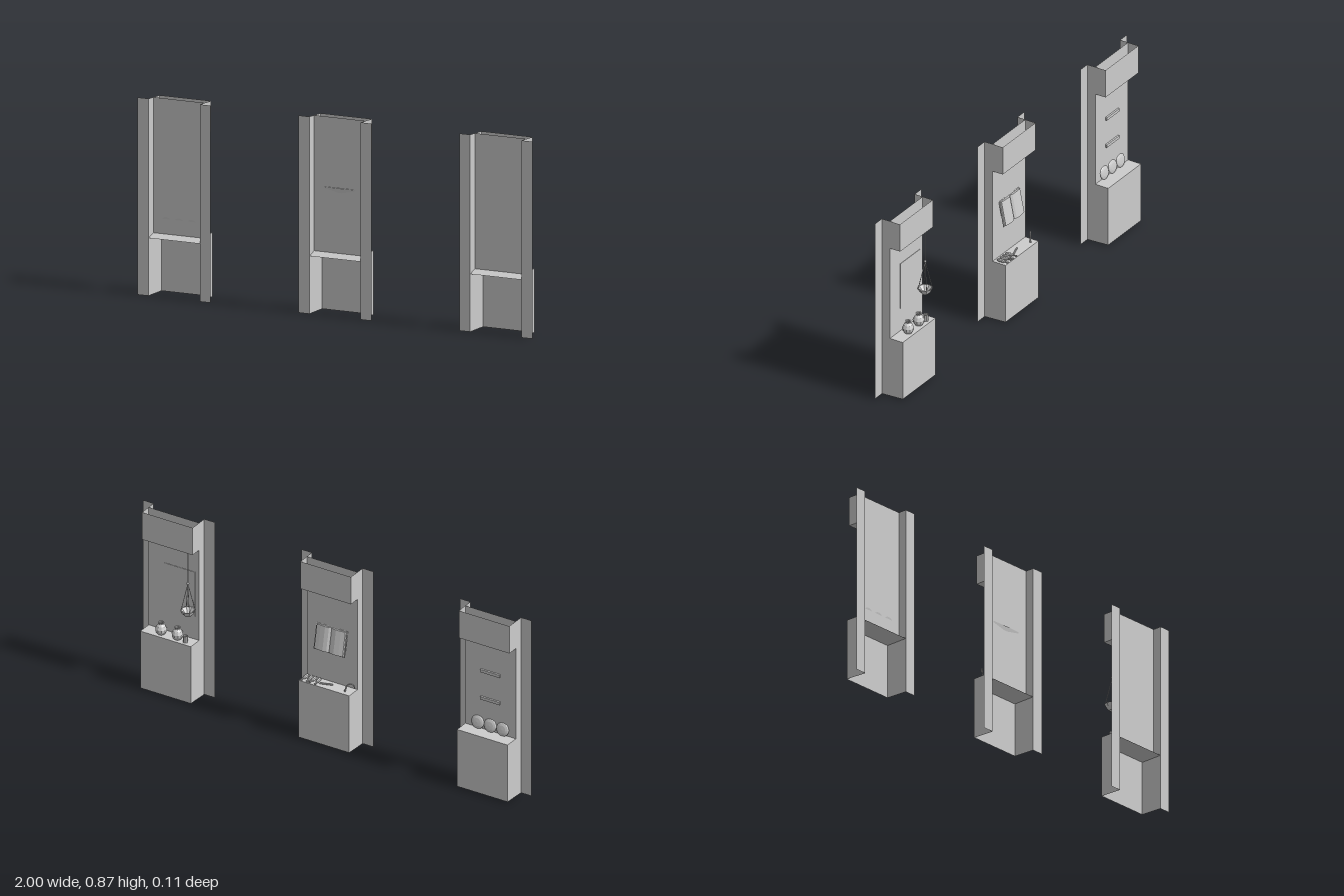
import * as THREE from 'three';

export function createModel() {
  const root = new THREE.Group();
  root.name = 'stallRow';
  const grey = new THREE.MeshStandardMaterial({ color: 0xcccccc, side: THREE.DoubleSide, flatShading: true });
  grey.name = 'plainGrey';

  const add = (parent, name, geo, x = 0, y = 0, z = 0, rx = 0, ry = 0, rz = 0) => {
    const m = new THREE.Mesh(geo, grey);
    m.name = name;
    m.position.set(x, y, z);
    m.rotation.set(rx, ry, rz);
    parent.add(m);
    return m;
  };
  const shapeOf = (pts) => new THREE.Shape(pts.map((p) => new THREE.Vector2(...p)));
  const lathe = (pts, n) => new THREE.LatheGeometry(pts.map((p) => new THREE.Vector2(...p)), n);
  // Flat sheet across the niche between two (y, z) edges
  const sheet = (parent, name, y0, z0, y1, z1) => {
    const len = Math.hypot(y1 - y0, z1 - z0);
    add(parent, name, new THREE.PlaneGeometry(2 * W, len),
      0, (y0 + y1) / 2, (z0 + z1) / 2, Math.atan2(z1 - z0, y1 - y0));
  };
  // Straight round rod between two points
  const rod = (parent, name, a, b, r, n = 6) => {
    const p = new THREE.Vector3(...a), q = new THREE.Vector3(...b);
    const m = add(parent, name, new THREE.CylinderGeometry(r, r, p.distanceTo(q), n));
    m.position.copy(p).add(q).multiplyScalar(0.5);
    m.quaternion.setFromUnitVectors(new THREE.Vector3(0, 1, 0), q.sub(p).normalize());
  };

  const W = 0.13, FRONT = 0.056, PANEL = 0.015, COUNTER = -0.052, CANOPY = -0.038;
  const TOP = 0.87, HOOD = 0.735, DESK = 0.287;

  // Open sheet shell of one stall
  const stall = (x, name) => {
    const g = new THREE.Group();
    g.name = name;
    g.position.x = x;
    const side = shapeOf([[-FRONT, 0], [-COUNTER, 0.005], [-COUNTER, DESK], [-PANEL, DESK],
      [-PANEL, HOOD], [-CANOPY, HOOD], [-CANOPY, TOP], [-FRONT, TOP]]);
    for (const s of [-1, 1]) {
      add(g, 'sideWall', new THREE.ShapeGeometry(side), s * W, 0, 0, 0, Math.PI / 2);
      add(g, 'wallFlange', new THREE.PlaneGeometry(0.055, TOP), s * (W + 0.0275), TOP / 2, FRONT);
    }
    sheet(g, 'backPanel', 0.272, PANEL, TOP, PANEL);
    sheet(g, 'counterFace', 0.005, COUNTER, DESK, COUNTER);
    sheet(g, 'counterTop', DESK, COUNTER, DESK, PANEL);
    sheet(g, 'rearLedge', 0.255, FRONT, 0.272, PANEL);
    sheet(g, 'ledgeUnderside', 0.255, FRONT, 0.255, COUNTER);
    sheet(g, 'canopyFace', HOOD, CANOPY, TOP, CANOPY);
    sheet(g, 'canopyUnderside', HOOD, CANOPY, HOOD, PANEL);
    root.add(g);
    return g;
  };

  // Stall with leaning plates and two narrow wall rails
  const plates = stall(-0.815, 'plateStall');
  const plateGeo = lathe([[0, 0.008], [0.018, 0.007], [0.028, 0.004], [0.032, 0], [0, 0]], 20);
  for (const i of [-1, 0, 1])
    add(plates, 'plate', plateGeo, i * 0.064, DESK + 0.029, 0.011, -Math.PI / 2 + 0.18);
  for (const y of [0.44, 0.575])
    add(plates, 'wallRail', new THREE.BoxGeometry(0.1, 0.014, 0.008), 0, y, PANEL - 0.004);

  // Stall with an open book and small tools
  const study = stall(0, 'bookStall');
  const book = new THREE.Group();
  book.name = 'openBook';
  book.position.set(0, 0.44, -0.007);
  book.rotation.x = 0.2;
  study.add(book);
  const slab = (name, pts, depth, y) =>
    add(book, name, new THREE.ExtrudeGeometry(shapeOf(pts), { depth, bevelEnabled: false }), 0, y, 0, -Math.PI / 2);
  slab('bookCover', [[-0.08, 0.004], [-0.08, 0.001], [-0.008, -0.002], [0.008, -0.002],
    [0.08, 0.001], [0.08, 0.004], [0, 0.002]], 0.122, 0);
  for (const s of [-1, 1])
    slab('bookPages', [[0, 0.002], [s * 0.075, 0.004], [s * 0.073, 0.011], [s * 0.052, 0.014],
      [s * 0.028, 0.016], [s * 0.01, 0.013], [0, 0.006]], 0.114, 0.004);

  const vial = lathe([[0, 0], [0.007, 0], [0.008, 0.004], [0.008, 0.028], [0.003, 0.036],
    [0.003, 0.046], [0.0045, 0.047], [0.0045, 0.052], [0, 0.052]], 8);
  for (const i of [0, 1, 2, 3])
    add(study, 'lyingVial', vial, 0.115 - i * 0.021, DESK + 0.008, -0.003, -Math.PI / 2, 0, 0.15 * (i % 2));
  rod(study, 'stylus', [0.035, DESK + 0.004, -0.03], [-0.02, DESK + 0.004, -0.012], 0.004);
  add(study, 'sickleBlade', new THREE.TorusGeometry(0.018, 0.003, 5, 10, Math.PI * 1.1), -0.115, DESK + 0.022, -0.02, 0, 0.6);
  rod(study, 'sickleHandle', [-0.1, DESK + 0.022, -0.03], [-0.095, DESK + 0.003, -0.034], 0.004);

  // Stall with jars, a hanging pan and a thin wall chart
  const pantry = stall(0.815, 'jarStall');
  const jar = lathe([[0, 0], [0.016, 0], [0.025, 0.014], [0.026, 0.026], [0.02, 0.04],
    [0.012, 0.048], [0.011, 0.053], [0.014, 0.058], [0.009, 0.058], [0.008, 0.048]], 10);
  add(pantry, 'jar', jar, 0.042, DESK, -0.022);
  add(pantry, 'jar', jar, -0.042, DESK, -0.022);
  add(pantry, 'smallCup', lathe([[0, 0], [0.01, 0], [0.012, 0.032], [0.009, 0.032], [0.008, 0.004]], 8), -0.088, DESK, -0.03);
  add(pantry, 'wallChart', new THREE.BoxGeometry(0.16, 0.22, 0.002), -0.03, 0.51, PANEL - 0.001);

  const px = -0.095, pz = -0.021;
  add(pantry, 'hangingPan', lathe([[0, 0.413], [0.014, 0.416], [0.027, 0.43], [0.034, 0.445],
    [0.03, 0.445], [0.012, 0.421], [0, 0.419]], 8), px, 0, pz);
  rod(pantry, 'mainCord', [px, 0.575, pz], [px, HOOD, pz], 0.0018);
  add(pantry, 'cordKnot', new THREE.SphereGeometry(0.007, 8, 6), px, 0.575, pz);
  for (let i = 0; i < 4; i++) {
    const a = Math.PI / 4 + (i * Math.PI) / 2;
    rod(pantry, 'panCord', [px, 0.575, pz], [px + 0.031 * Math.cos(a), 0.444, pz + 0.031 * Math.sin(a)], 0.0015, 5);
  }
  return root;
}
